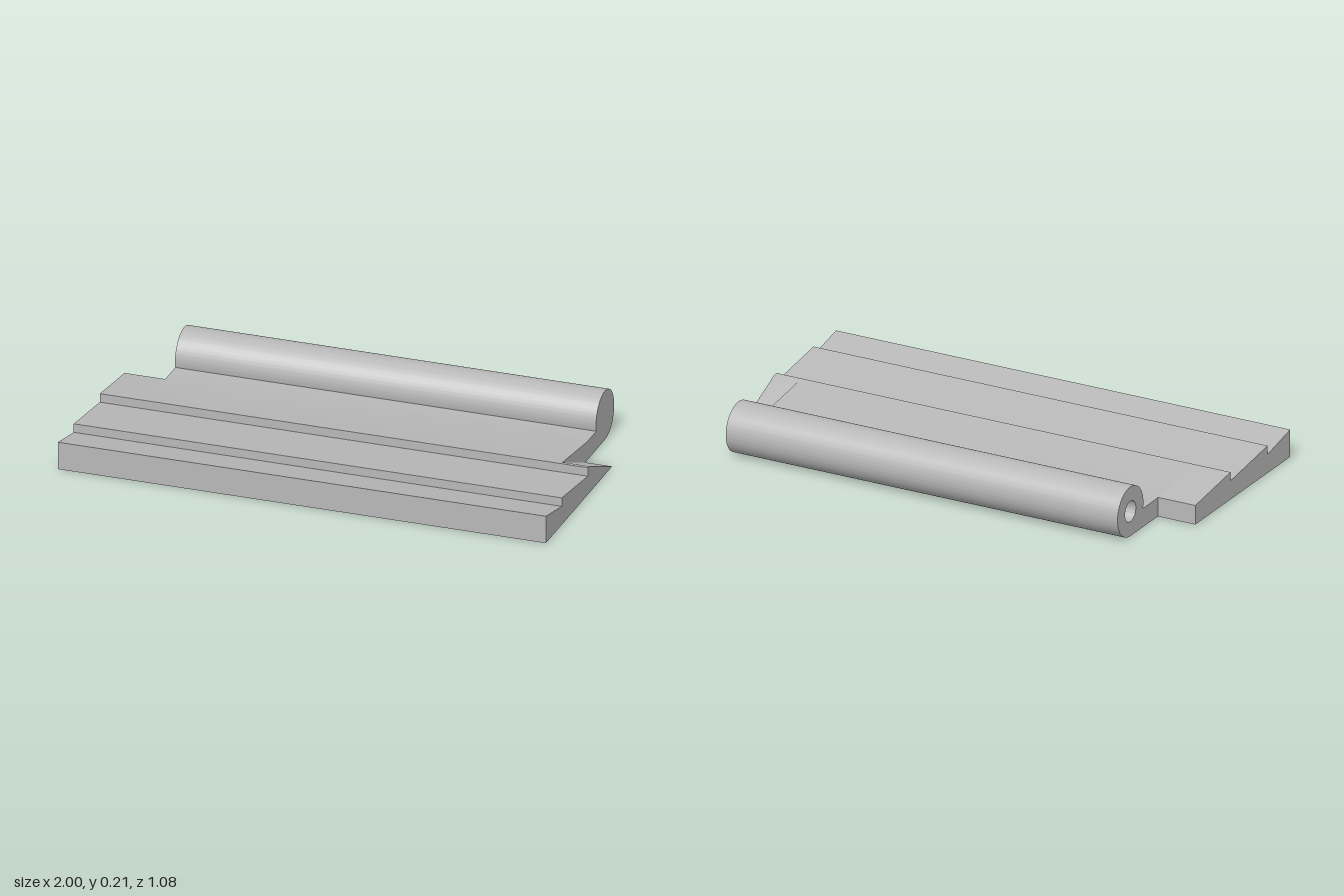
import * as THREE from 'three';
import { toCreasedNormals } from 'three/addons/utils/BufferGeometryUtils.js';

// Barrel (rolled rear edge) centre and radius, in the z-y plane
const BZ = -0.436, BY = 0.103, BR = 0.103;
const LOW = 0.078, HIGH = 0.114;

// Sawtooth front steps shared by every slice, as [z, y]
const STEPS = [
  [0.538, 0], [0.538, HIGH], [0.358, LOW], [0.358, HIGH], [0.063, LOW], [0.063, HIGH],
];

function stepShape(tail) {
  const shape = new THREE.Shape();
  [...STEPS, ...tail].forEach(([z, y], i) => (i ? shape.lineTo(z, y) : shape.moveTo(z, y)));
  return shape;
}

// Full profile: steps, flat strip, then the round barrel
function mainShape(boreRadius = 0) {
  const shape = stepShape([[-0.235, LOW]]);
  const start = Math.asin((LOW - BY) / BR);
  shape.absarc(BZ, BY, BR, start, Math.PI * 1.5, false);
  shape.closePath();
  if (boreRadius > 0) {
    const bore = new THREE.Path();
    bore.absarc(BZ, BY, boreRadius, 0, Math.PI * 2, true);
    shape.holes.push(bore);
  }
  return shape;
}

// Extrudes a z-y profile along x between two positions
function slice(name, shape, x0, x1, material) {
  const geo = new THREE.ExtrudeGeometry(shape, { depth: x1 - x0, bevelEnabled: false, curveSegments: 40 });
  geo.rotateY(-Math.PI / 2);
  geo.translate(x1, 0, 0);
  const mesh = new THREE.Mesh(toCreasedNormals(geo, 0.5), material);
  mesh.name = name;
  return mesh;
}

export function createModel() {
  const group = new THREE.Group();
  group.name = 'steppedHingePlate';
  const grey = new THREE.MeshStandardMaterial({ color: 0xb8b8b8 });
  grey.name = 'grey';

  // Right tab, cut square at the rear
  group.add(slice('rightTab', stepShape([[-0.218, 0.08], [-0.218, 0]]), -1, -0.835, grey));
  // Main plate with barrel; the right end has a blind pin hole
  group.add(slice('boredBarrelEnd', mainShape(0.043), -0.835, -0.65, grey));
  group.add(slice('plateAndBarrel', mainShape(), -0.65, 0.89, grey));
  // Left tab, ramping down to a thin rear edge
  group.add(slice('leftRampTab', stepShape([[0.045, 0.112], [-0.212, 0]]), 0.89, 1, grey));

  return group;
}
